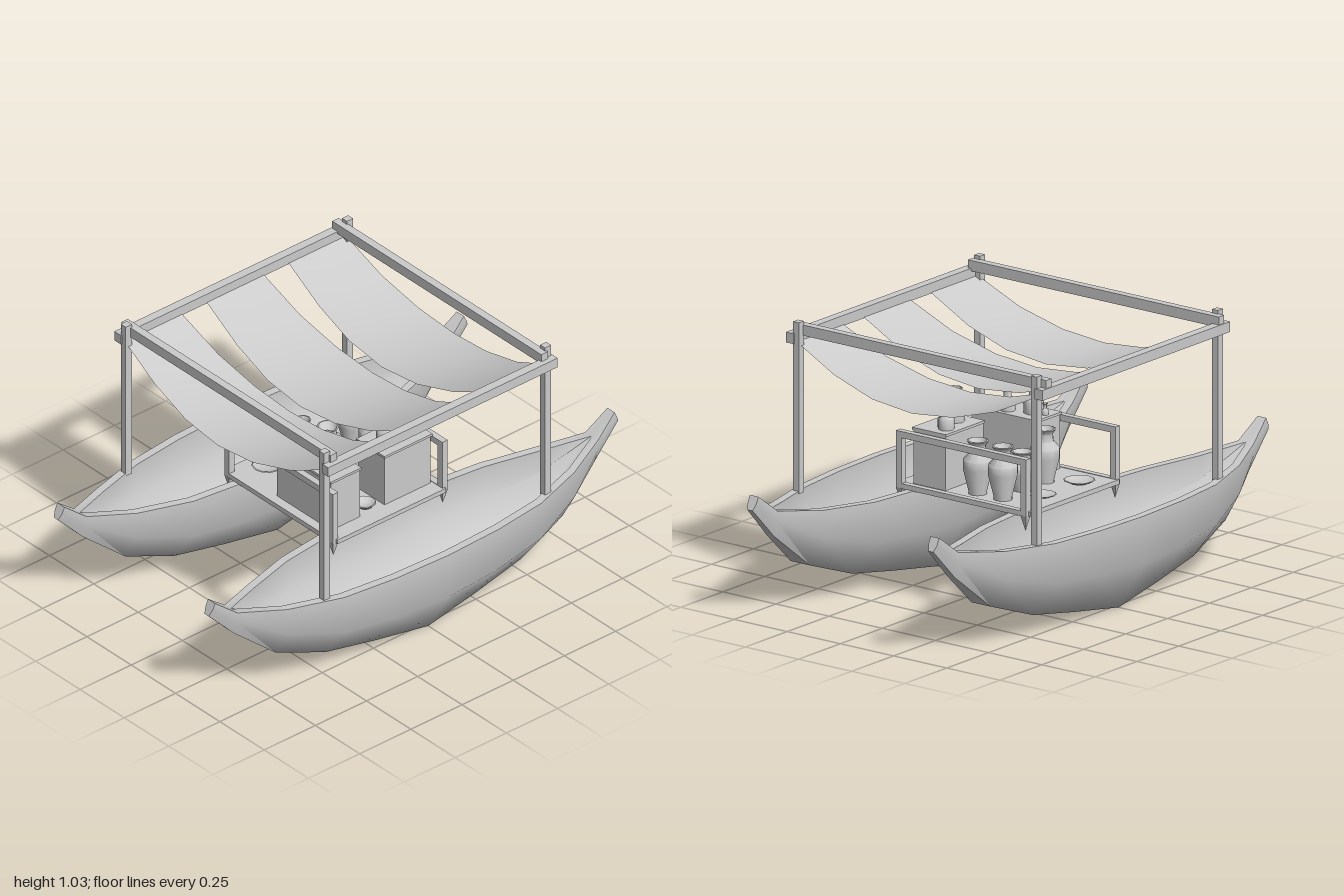
import * as THREE from 'three';
import { toCreasedNormals } from 'three/addons/utils/BufferGeometryUtils.js';

const grey = new THREE.MeshStandardMaterial({ color: 0xcccccc });
const cloth = new THREE.MeshStandardMaterial({ color: 0xcccccc, side: THREE.DoubleSide });

export function createModel() {
  const model = new THREE.Group();

  const add = (name, geometry, x = 0, y = 0, z = 0, material = grey) => {
    const mesh = new THREE.Mesh(geometry, material);
    mesh.name = name;
    mesh.position.set(x, y, z);
    model.add(mesh);
    return mesh;
  };
  // box given by its limits on each axis
  const box = (name, x0, x1, y0, y1, z0, z1) =>
    add(name, new THREE.BoxGeometry(x1 - x0, y1 - y0, z1 - z0), (x0 + x1) / 2, (y0 + y1) / 2, (z0 + z1) / 2);

  // Two open hulls with upturned ends
  const hull = hullGeometry();
  add('leftHull', hull, 0.425);
  add('rightHull', hull, -0.425);

  // Deck between the hulls, with a rail and pointed pegs at each end
  box('deck', -0.305, 0.305, 0.377, 0.392, -0.265, 0.265);
  for (const s of [-1, 1]) {
    const z0 = s * 0.267 - 0.013, z1 = s * 0.267 + 0.013;
    box('railTop', -0.306, 0.306, 0.57, 0.595, z0, z1);
    box('railBottom', -0.306, 0.306, 0.374, 0.394, z0, z1);
    for (const t of [-1, 1]) {
      box('railPost', t * 0.293 - 0.013, t * 0.293 + 0.013, 0.39, 0.575, z0, z1);
      const peg = add('deckPeg', new THREE.ConeGeometry(0.019, 0.06, 4).toNonIndexed(), t * 0.293, 0.346, s * 0.267);
      peg.geometry.computeVertexNormals();
      peg.rotation.set(Math.PI, Math.PI / 4, 0);
    }
  }
  for (const t of [-1, 1]) box('deckEdge', t * 0.305 - 0.01, t * 0.305 + 0.01, 0.374, 0.392, -0.265, 0.265);

  // Awning frame: posts, cross beams and lower side beams
  for (const s of [-1, 1]) {
    for (const t of [-1, 1])
      box('awningPost', t * 0.559 - 0.014, t * 0.559 + 0.014, 0.37, 1.03, s * 0.54 - 0.015, s * 0.54 + 0.015);
    box('crossBeam', -0.598, 0.582, 0.975, 1.016, s * 0.515 - 0.016, s * 0.515 + 0.016);
    box('sideBeam', s * 0.585 - 0.018, s * 0.585 + 0.018, 0.945, 0.985, -0.56, 0.56);
  }

  // Three sagging cloth strips
  for (const z of [-0.4, 0, 0.4]) add('awningStrip', clothGeometry(), 0, 0, z, cloth);

  // Crates
  box('frontCrate', -0.055, 0.25, 0.39, 0.6, 0.1, 0.24);
  box('frontCrateLid', -0.059, 0.255, 0.6, 0.61, 0.096, 0.246);
  box('backCrate', 0.1, 0.25, 0.39, 0.6, -0.246, -0.02);
  box('backCrateLid', 0.095, 0.255, 0.6, 0.61, -0.25, -0.016);

  // Tall storage jars, their feet set through the deck
  const jar = lathe([[0, 0], [0.036, 0], [0.036, 0.03], [0.057, 0.115], [0.057, 0.148], [0.033, 0.175],
    [0.03, 0.205], [0.042, 0.222], [0.036, 0.224], [0.024, 0.2], [0, 0.19]]);
  for (const [x, z, h] of [[-0.115, 0.075, 1], [-0.13, -0.195, 1], [-0.012, -0.195, 1], [-0.115, -0.06, 0.75]])
    add('storageJar', jar, x, 0.374, z).scale.set(1, h, 1);

  // Bottles standing on the crates
  const bottle = lathe([[0, 0], [0.038, 0], [0.038, 0.052], [0.019, 0.07], [0.019, 0.106],
    [0.031, 0.128], [0.026, 0.128], [0.014, 0.1], [0, 0.1]], 8);
  for (const [x, z, k] of [[0.016, 0.175, 1], [0.112, 0.14, 0.78], [0.18, -0.09, 1], [0.14, -0.19, 0.78], [0.165, -0.175, 0.6]])
    add('bottle', bottle, x, 0.61, z).scale.setScalar(k);
  add('smallCup', bottle, -0.033, 0.61, 0.18).scale.setScalar(0.34);

  // Shallow dishes on the deck
  const dish = lathe([[0, 0], [0.035, 0], [0.06, 0.012], [0.056, 0.014], [0.032, 0.005], [0, 0.005]], 12);
  add('dish', dish, -0.225, 0.392, 0.14);
  add('dish', dish, -0.225, 0.392, -0.08).scale.set(0.9, 0.8, 0.9);
  add('bowl', dish, 0.21, 0.392, 0.04).scale.set(0.7, 1.5, 0.7);

  return model;
}

// Turned shape with crisp edges
function lathe(points, sides = 10) {
  const g = new THREE.LatheGeometry(points.map(([r, y]) => new THREE.Vector2(r, y)), sides);
  g.deleteAttribute('normal');
  g.deleteAttribute('uv');
  return toCreasedNormals(g, 0.8);
}

// Strip that hangs in a curve along x and widens towards its middle
function clothGeometry() {
  const g = new THREE.PlaneGeometry(1.14, 1, 6, 1).rotateX(-Math.PI / 2);
  const p = g.attributes.position;
  for (let i = 0; i < p.count; i++) {
    const sag = 1 - (p.getX(i) / 0.57) ** 2;
    p.setY(i, 0.95 - 0.163 * sag);
    p.setZ(i, Math.sign(p.getZ(i)) * (0.14 + 0.035 * sag ** 1.5));
  }
  g.computeVertexNormals();
  return g;
}

// Hull skin, rim and hollow inside, lofted through sections along z
function hullGeometry() {
  // z, rim half width, rim y, chine y, keel half width, keel y, forward shift of keel
  const half = [
    [0, 0.215, 0.375, 0.19, 0.095, 0, 0],
    [0.25, 0.205, 0.375, 0.2, 0.085, 0.04, 0],
    [0.48, 0.178, 0.376, 0.22, 0.07, 0.08, 0],
    [0.7, 0.112, 0.385, 0.275, 0.045, 0.16, 0],
    [0.88, 0.036, 0.41, 0.365, 0.018, 0.31, 0],
    [0.975, 0.02, 0.485, 0.46, 0.012, 0.435, 0.025],
  ];
  const mirrored = half.slice(1).reverse().map(([z, ...r]) => [-z, ...r]);
  const stations = [...mirrored, ...half];
  const pos = [], index = [];
  const n = 12;
  for (const [z, w, top, chine, kw, keel, shift] of stations) {
    const e = Math.sign(z) * shift;
    const solid = Math.abs(z) > 0.8;
    const iw = solid ? 0.002 : w - 0.033;
    const ik = solid ? 0.001 : kw * 0.95;
    const floor = solid ? top : Math.min(keel + 0.075, top);
    const iChine = solid ? top : Math.max(chine + 0.015, floor + 0.02);
    // right half of the section from keel up over the rim and down to the floor
    const side = [[kw, keel, e], [w, chine, e / 2], [w, top, 0], [iw, top, 0], [iw, iChine, 0], [ik, floor, 0]];
    const ring = [...side, ...side.slice().reverse().map(([x, y, d]) => [-x, y, d])];
    for (const [x, y, d] of ring) pos.push(x, y, z + d);
  }
  for (let i = 0; i < stations.length - 1; i++)
    for (let j = 0; j < n; j++) {
      const a = i * n + j, b = i * n + (j + 1) % n;
      index.push(a, b, b + n, a, b + n, a + n);
    }
  // blunt tips, using the six outer points of the end sections
  const outer = [0, 1, 2, 9, 10, 11];
  const last = (stations.length - 1) * n;
  for (let k = 1; k < 5; k++) {
    index.push(last, last + outer[k], last + outer[k + 1]);
    index.push(0, outer[k + 1], outer[k]);
  }
  const g = new THREE.BufferGeometry();
  g.setAttribute('position', new THREE.Float32BufferAttribute(pos, 3));
  g.setIndex(index);
  return toCreasedNormals(g, 1.05);
}
